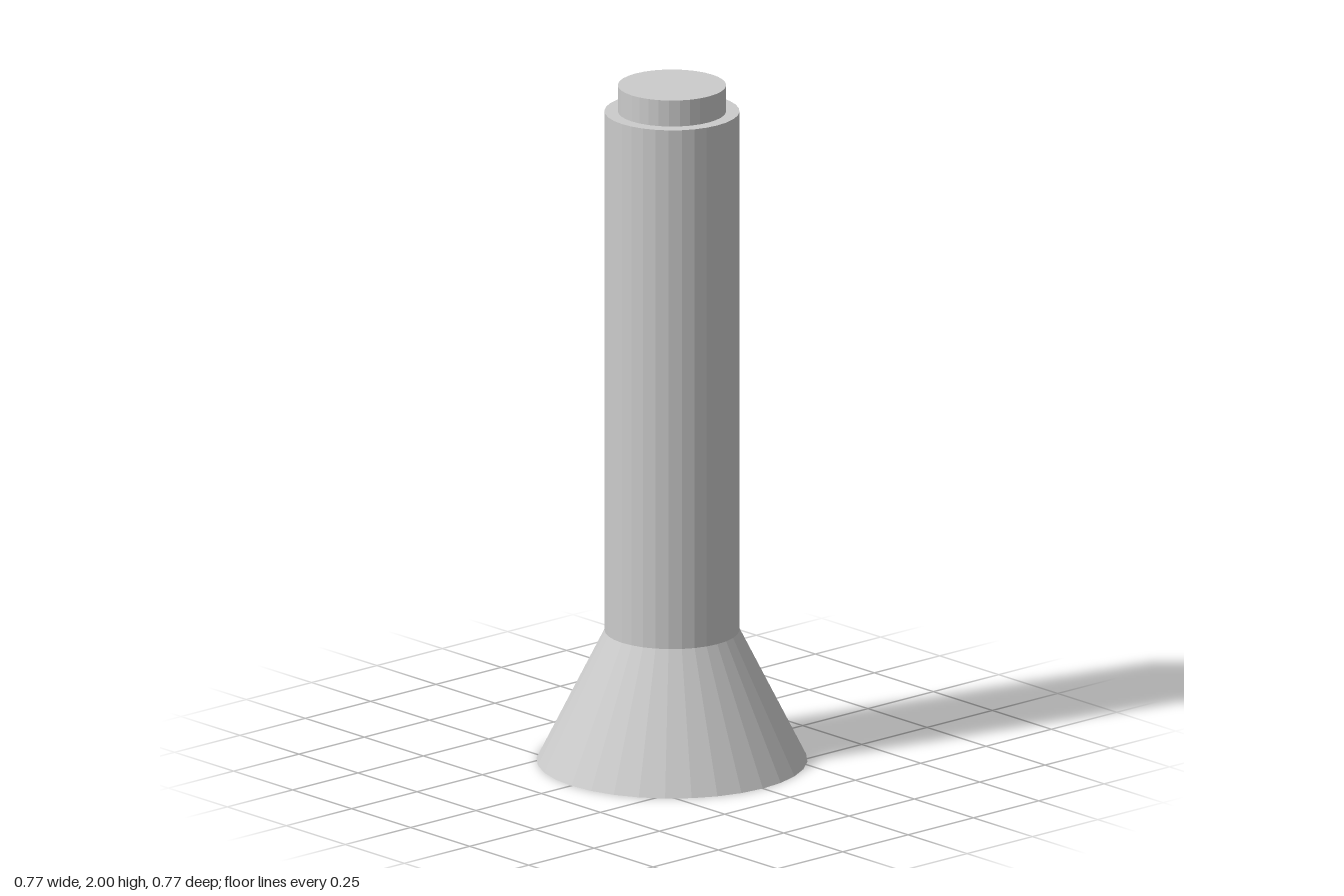
import * as THREE from 'three';

const SIDES = 32;

export function createModel() {
  const model = new THREE.Group();
  const material = new THREE.MeshStandardMaterial({ color: 0xcccccc, flatShading: true });

  // Adds a round section standing between two heights
  function addSection(name, bottomRadius, topRadius, y0, y1) {
    const geometry = new THREE.CylinderGeometry(topRadius, bottomRadius, y1 - y0, SIDES);
    const mesh = new THREE.Mesh(geometry, material);
    mesh.name = name;
    mesh.position.y = (y0 + y1) / 2;
    model.add(mesh);
  }

  addSection('flaredBase', 0.385, 0.192, 0, 0.385);
  addSection('shaft', 0.192, 0.192, 0.385, 1.923);
  addSection('topCap', 0.154, 0.154, 1.923, 2);

  return model;
}
